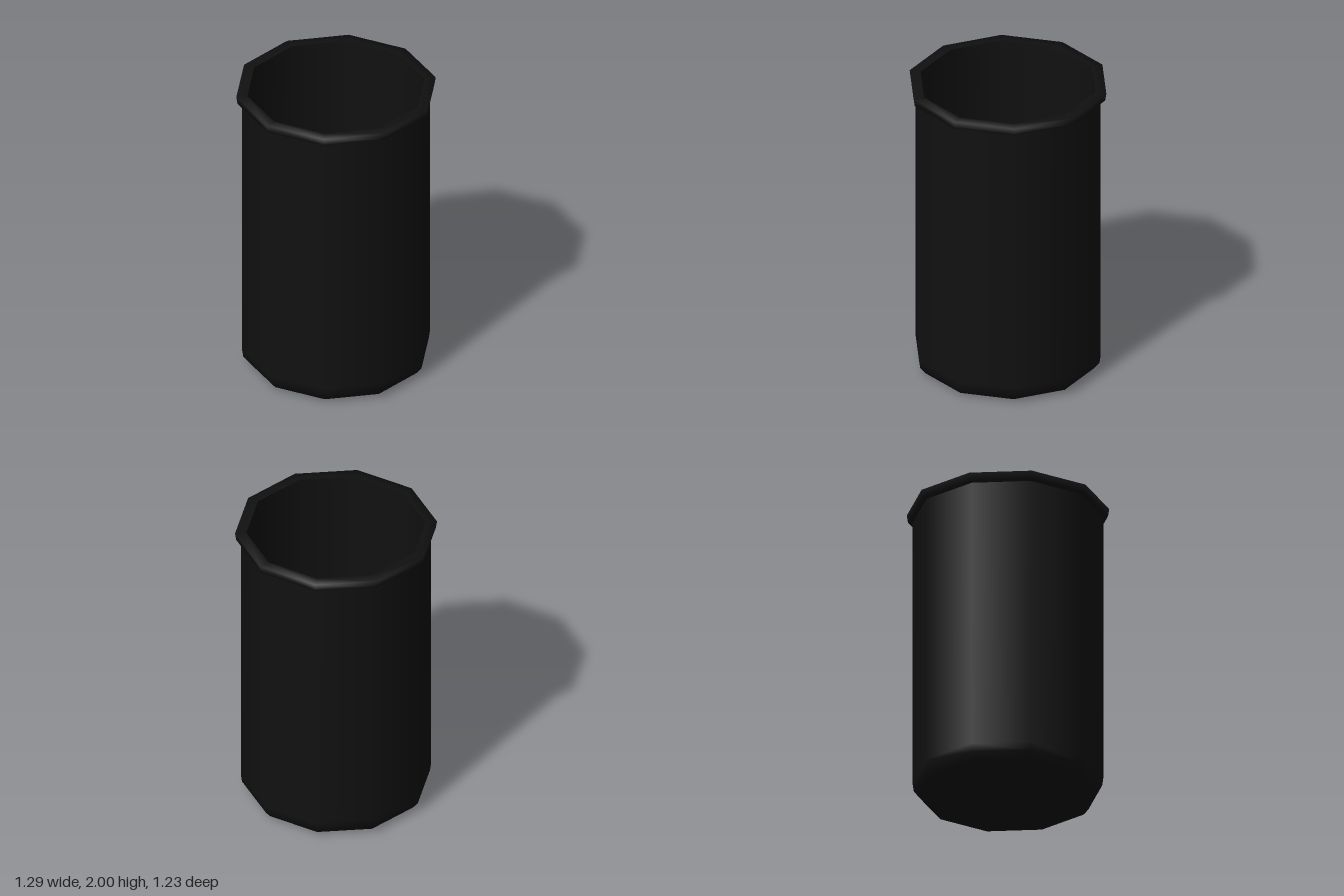
import * as THREE from 'three';

const SIDES = 10;

export function createModel() {
  const group = new THREE.Group();
  group.name = 'cup';
  const material = new THREE.MeshStandardMaterial({ color: 0x111111 });

  // Ten-sided turned part with a corner on the x axis
  function turned(name, profile) {
    const points = profile.map(([r, y]) => new THREE.Vector2(r, y));
    const mesh = new THREE.Mesh(new THREE.LatheGeometry(points, SIDES, Math.PI / 2), material);
    mesh.name = name;
    group.add(mesh);
  }

  // Outer wall with flat base and rounded bottom edge
  turned('outerWall', [
    [0, 0], [0.5, 0], [0.565, 0.02], [0.6, 0.065], [0.608, 0.12], [0.608, 1.945],
  ]);

  // Protruding lip around the mouth
  turned('rim', [
    [0.608, 1.945], [0.637, 1.95], [0.645, 2], [0.573, 2],
  ]);

  // Hollow inside, running down to the floor
  turned('innerWall', [
    [0.573, 2], [0.571, 1.95], [0.571, 0.13], [0.56, 0.085], [0.53, 0.05], [0.48, 0.035], [0, 0.035],
  ]);

  return group;
}
